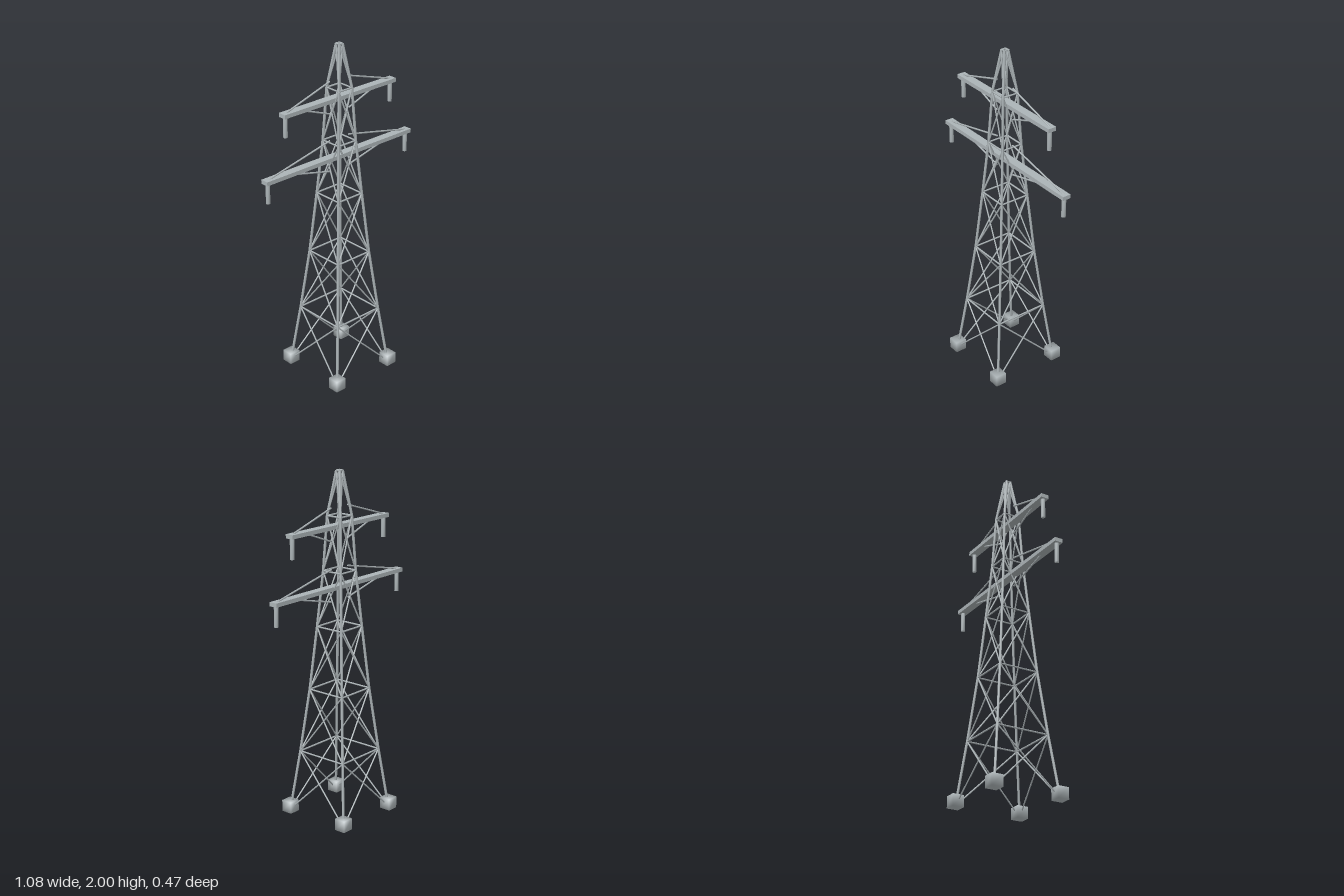
import * as THREE from 'three';
import { mergeVertices } from 'three/addons/utils/BufferGeometryUtils.js';

// Shares corner vertices so the shading rolls softly over the edges
const soften = (geometry) => {
  geometry.deleteAttribute('uv');
  geometry.deleteAttribute('normal');
  const soft = mergeVertices(geometry);
  soft.computeVertexNormals();
  return soft;
};

export function createModel() {
  const steel = new THREE.MeshStandardMaterial({ color: 0xacb4b7 });
  steel.name = 'galvanised steel';

  const tower = new THREE.Group();
  tower.name = 'latticeTower';
  const group = (name) => {
    const g = new THREE.Group();
    g.name = name;
    tower.add(g);
    return g;
  };
  const add = (parent, name, geometry, x = 0, y = 0, z = 0) => {
    const mesh = new THREE.Mesh(geometry, steel);
    mesh.name = name;
    mesh.position.set(x, y, z);
    parent.add(mesh);
    return mesh;
  };

  // Round bar between two points
  const up = new THREE.Vector3(0, 1, 0);
  const bar = (parent, name, from, to, radius) => {
    const a = new THREE.Vector3(...from), b = new THREE.Vector3(...to);
    const dir = b.clone().sub(a);
    const mesh = add(parent, name, new THREE.CylinderGeometry(radius, radius, dir.length(), 6));
    mesh.position.copy(a).add(b).multiplyScalar(0.5);
    mesh.quaternion.setFromUnitVectors(up, dir.normalize());
  };

  // Tower levels: height and half width
  const levels = [
    [0.012, 0.203], [0.372, 0.16], [0.746, 0.12], [1.116, 0.089],
    [1.437, 0.064], [1.746, 0.048], [1.995, 0.012],
  ];
  const corners = [[1, 1], [-1, 1], [-1, -1], [1, -1]];
  const at = (level, c) => {
    const [y, w] = levels[level], [sx, sz] = corners[c % 4];
    return [sx * w, y, sz * w];
  };

  const legs = group('legs');
  const crossBraces = group('crossBraces');
  const rings = group('horizontalRings');
  for (let i = 0; i < levels.length; i++) {
    for (let c = 0; c < 4; c++) {
      if (i > 0) bar(rings, 'ringBar', at(i, c), at(i, c + 1), 0.005);
      if (i === levels.length - 1) continue;
      bar(legs, 'legSection', at(i, c), at(i + 1, c), 0.008);
      bar(crossBraces, 'brace', at(i, c), at(i + 1, c + 1), 0.0045);
      bar(crossBraces, 'brace', at(i, c + 1), at(i + 1, c), 0.0045);
    }
  }

  // Footings
  const footing = soften(new THREE.BoxGeometry(0.068, 0.068, 0.068));
  const footings = group('footings');
  for (const [sx, sz] of corners) add(footings, 'footing', footing, sx * 0.203, 0.034, sz * 0.203);

  // Crossarms with stays above, struts below and hanging insulators
  const insulator = soften(new THREE.CylinderGeometry(0.0125, 0.0125, 0.12, 10));
  const arms = [
    { name: 'upperCrossarm', y: 1.692, half: 0.407, tip: 0.385, stayY: 1.797, strutX: 0.265, strutY: 1.612 },
    { name: 'lowerCrossarm', y: 1.348, half: 0.538, tip: 0.515, stayY: 1.453, strutX: 0.36, strutY: 1.27 },
  ];
  for (const arm of arms) {
    const g = group(arm.name);
    add(g, 'beam', new THREE.BoxGeometry(arm.half * 2, 0.023, 0.049), 0, arm.y, 0);
    for (const s of [1, -1]) {
      bar(g, 'stay', [s * arm.tip, arm.y + 0.008, 0], [s * 0.07, arm.stayY, 0], 0.005);
      bar(g, 'strut', [s * arm.strutX, arm.y - 0.008, 0], [s * 0.072, arm.strutY, 0], 0.005);
      add(g, 'insulator', insulator, s * arm.tip, arm.y - 0.067, 0);
    }
  }
  return tower;
}
